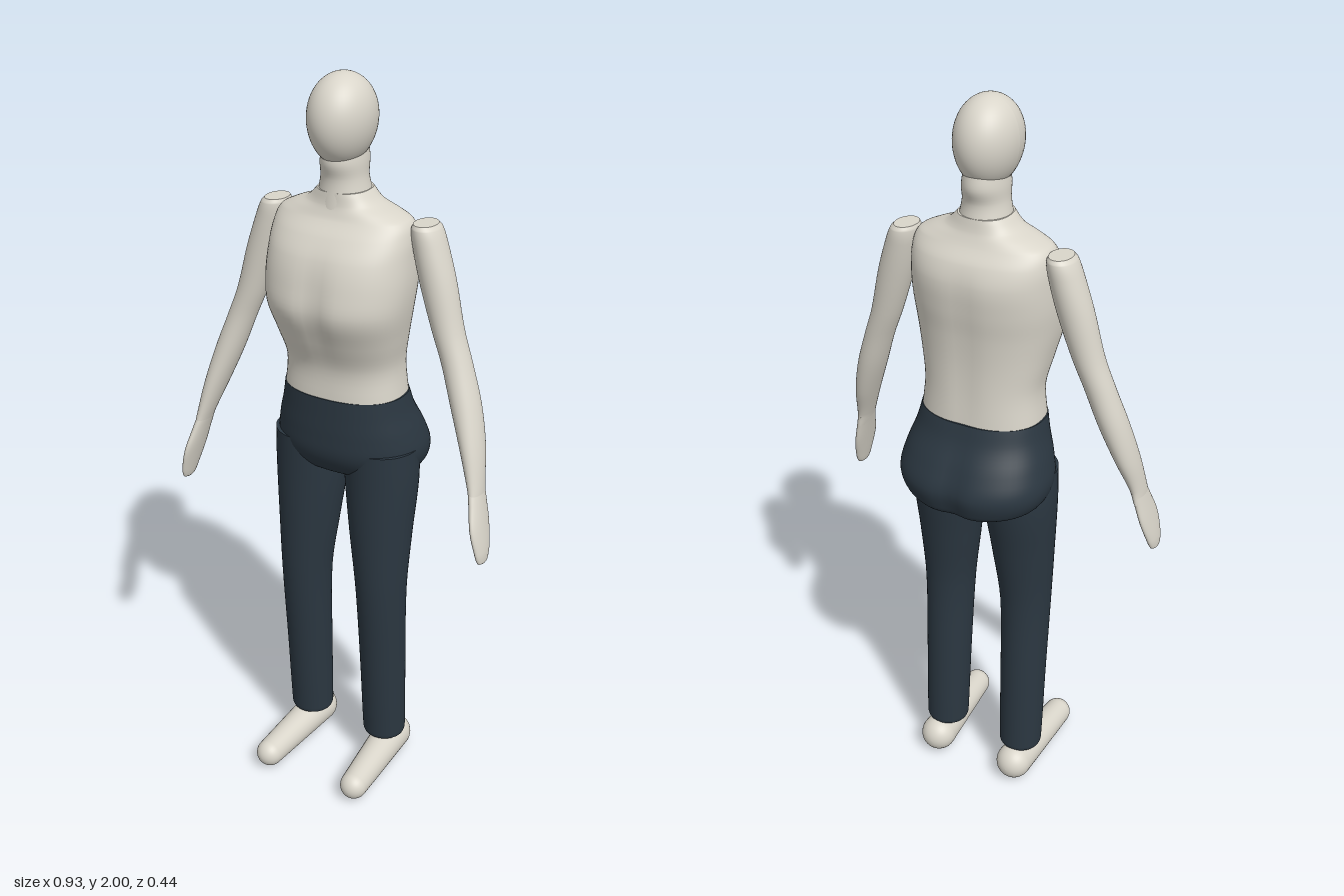
import * as THREE from 'three';

const skin = new THREE.MeshStandardMaterial({ color: 0xd9d5ca });
skin.name = 'pale skin';
const cloth = new THREE.MeshStandardMaterial({ color: 0x2b3741 });
cloth.name = 'dark trousers';

// Catmull-Rom blend of section rows, with tangents scaled by the y spacing
function smoothRows(rows, steps) {
  const out = [];
  for (let i = 0; i < rows.length - 1; i++) {
    const p = rows[i], q = rows[i + 1];
    const h = q[0] - p[0];
    const a = rows[i - 1] || p, b = rows[i + 2] || q;
    for (let s = 0; s < steps; s++) {
      const t = s / steps, t2 = t * t, t3 = t2 * t;
      out.push(p.map((v, k) => {
        if (k === 0) return v + h * t;
        const m0 = (q[k] - a[k]) / (q[0] - a[0]) * h;
        const m1 = (b[k] - v) / (b[0] - p[0]) * h;
        return (2 * t3 - 3 * t2 + 1) * v + (t3 - 2 * t2 + t) * m0 + (3 * t2 - 2 * t3) * q[k] + (t3 - t2) * m1;
      }));
    }
  }
  out.push(rows[rows.length - 1]);
  return out;
}

// Closed loft, bottom to top. Row: y, centre x, half width, front z, back z, front cleft, back cleft
function loft(rows, { power = 2, steps = 5, segs = 48 } = {}) {
  const full = rows.map(([y, cx, w, zf, zb, cf = 0, cb = 0]) => [y, cx, w, zf, zb, cf, cb]);
  const rings = smoothRows(full, steps);
  const pos = [], index = [];
  const bend = v => Math.sign(v) * Math.pow(Math.abs(v), 2 / power);
  for (const [y, cx, w, zf, zb, cf, cb] of rings) {
    const cz = (zf + zb) / 2, d = (zf - zb) / 2;
    for (let j = 0; j < segs; j++) {
      const a = j / segs * Math.PI * 2;
      const x = w * bend(Math.sin(a)), c = bend(Math.cos(a));
      const groove = Math.exp(-((x / 0.035) ** 2)) * (c > 0 ? -cf * c : -cb * c);
      pos.push(cx + x, y, cz + d * c + groove);
    }
  }
  for (let i = 0; i < rings.length - 1; i++) {
    for (let j = 0; j < segs; j++) {
      const a = i * segs + j, b = i * segs + (j + 1) % segs;
      index.push(a, b, b + segs, a, b + segs, a + segs);
    }
  }
  // flat end caps with their own vertices
  for (const [ring, up] of [[0, false], [rings.length - 1, true]]) {
    const base = pos.length / 3, r = rings[ring];
    pos.push(r[1], r[0], (r[3] + r[4]) / 2);
    for (let j = 0; j < segs; j++) {
      const k = (ring * segs + j) * 3;
      pos.push(pos[k], pos[k + 1], pos[k + 2]);
    }
    for (let j = 0; j < segs; j++) {
      const a = base + 1 + j, b = base + 1 + (j + 1) % segs;
      if (up) index.push(base, a, b);
      else index.push(base, b, a);
    }
  }
  const g = new THREE.BufferGeometry();
  g.setAttribute('position', new THREE.Float32BufferAttribute(pos, 3));
  g.setIndex(index);
  g.computeVertexNormals();
  return g;
}

// Tapered capsule running from point a (radius ra) to point b (radius rb)
function capsule(a, ra, b, rb) {
  const dir = b.clone().sub(a), len = dir.length();
  const tilt = Math.asin((ra - rb) / len), pts = [];
  for (let i = 0; i <= 12; i++) {
    const t = -Math.PI / 2 + (Math.PI / 2 + tilt) * i / 12;
    pts.push(new THREE.Vector2(Math.max(0, ra * Math.cos(t)), ra * Math.sin(t)));
  }
  for (let i = 0; i <= 12; i++) {
    const t = tilt + (Math.PI / 2 - tilt) * i / 12;
    pts.push(new THREE.Vector2(Math.max(0, rb * Math.cos(t)), len + rb * Math.sin(t)));
  }
  const g = new THREE.LatheGeometry(pts, 32);
  g.applyQuaternion(new THREE.Quaternion().setFromUnitVectors(new THREE.Vector3(0, 1, 0), dir.normalize()));
  return g.translate(a.x, a.y, a.z);
}

export function createModel() {
  const model = new THREE.Group();
  const add = (name, geometry, material) => {
    const mesh = new THREE.Mesh(geometry, material);
    mesh.name = name;
    model.add(mesh);
  };

  // Head: an egg, narrower towards the chin
  const egg = new THREE.SphereGeometry(1, 48, 32);
  const p = egg.attributes.position;
  for (let i = 0; i < p.count; i++) {
    const y = p.getY(i), k = 1 + 0.08 * y;
    p.setXYZ(i, p.getX(i) * 0.081 * k, 1.888 + y * 0.112, p.getZ(i) * 0.103 + 0.002);
  }
  egg.computeVertexNormals();
  add('head', egg, skin);

  // Neck
  add('neck', loft([
    [1.64, 0, 0.075, 0.07, -0.09],
    [1.70, 0, 0.068, 0.06, -0.083],
    [1.75, 0, 0.058, 0.056, -0.074],
    [1.79, 0, 0.056, 0.066, -0.085],
    [1.83, 0, 0.05, 0.06, -0.08],
  ]), skin);

  // Torso with chest and shoulder slope
  add('torso', loft([
    [1.18, 0, 0.166, 0.10, -0.14, 0, 0.003],
    [1.27, 0, 0.158, 0.10, -0.134, 0, 0.005],
    [1.35, 0, 0.172, 0.132, -0.132, 0.006, 0.005],
    [1.43, 0, 0.188, 0.165, -0.136, 0.014, 0.005],
    [1.50, 0, 0.195, 0.158, -0.144, 0.01, 0.005],
    [1.57, 0, 0.194, 0.137, -0.146, 0.004, 0.004],
    [1.62, 0, 0.19, 0.105, -0.13],
    [1.655, 0, 0.176, 0.075, -0.105],
    [1.672, 0, 0.143, 0.066, -0.095],
    [1.69, 0, 0.098, 0.06, -0.087],
    [1.72, 0, 0.066, 0.057, -0.08],
  ], { power: 2.35, segs: 64 }), skin);

  // Trouser seat
  add('trouserSeat', loft([
    [0.942, 0, 0.10, 0.01, -0.175, 0, 0.01],
    [0.948, 0, 0.15, 0.035, -0.20, 0, 0.012],
    [0.97, 0, 0.19, 0.07, -0.215, 0, 0.014],
    [1.02, 0, 0.209, 0.098, -0.223, 0, 0.014],
    [1.08, 0, 0.199, 0.103, -0.197, 0, 0.009],
    [1.14, 0, 0.18, 0.103, -0.162, 0, 0.004],
    [1.19, 0, 0.169, 0.103, -0.143, 0, 0.002],
  ], { power: 2.2, segs: 64 }), cloth);

  for (const side of [1, -1]) {
    const prefix = side > 0 ? 'left' : 'right';

    // Trouser leg with a rounded hem
    add(prefix + 'TrouserLeg', loft([
      [0.094, side * 0.122, 0.052, 0.022, -0.08],
      [0.099, side * 0.122, 0.058, 0.028, -0.086],
      [0.112, side * 0.122, 0.061, 0.031, -0.089],
      [0.35, side * 0.121, 0.064, 0.05, -0.083],
      [0.60, side * 0.119, 0.07, 0.07, -0.077],
      [0.78, side * 0.112, 0.086, 0.075, -0.096],
      [0.94, side * 0.107, 0.1, 0.077, -0.12],
      [1.04, side * 0.105, 0.1, 0.08, -0.12],
    ]), cloth);

    // Foot
    add(prefix + 'Foot', capsule(
      new THREE.Vector3(side * 0.127, 0.051, -0.078), 0.051,
      new THREE.Vector3(side * 0.141, 0.043, 0.181), 0.039), skin);

    // Arm, thinning at the wrist
    add(prefix + 'Arm', loft([
      [0.99, side * 0.42, 0.014, 0.09, 0.012],
      [1.03, side * 0.411, 0.019, 0.081, 0.008],
      [1.12, side * 0.386, 0.03, 0.066, -0.024],
      [1.22, side * 0.353, 0.038, 0.046, -0.045],
      [1.32, side * 0.317, 0.039, 0.028, -0.055],
      [1.40, side * 0.286, 0.041, 0.022, -0.063],
      [1.52, side * 0.25, 0.046, 0.02, -0.075],
      [1.61, side * 0.224, 0.042, 0.018, -0.081],
      [1.645, side * 0.215, 0.036, 0.015, -0.08],
      [1.656, side * 0.212, 0.029, 0.008, -0.073],
    ]), skin);

    // Flat mitten hand
    add(prefix + 'Hand', loft([
      [0.834, side * 0.456, 0.005, 0.092, 0.07],
      [0.84, side * 0.455, 0.009, 0.105, 0.056],
      [0.87, side * 0.45, 0.013, 0.114, 0.04],
      [0.93, side * 0.436, 0.015, 0.116, 0.02],
      [0.99, side * 0.421, 0.016, 0.094, 0.013],
      [1.02, side * 0.413, 0.017, 0.082, 0.01],
    ]), skin);
  }
  return model;
}
